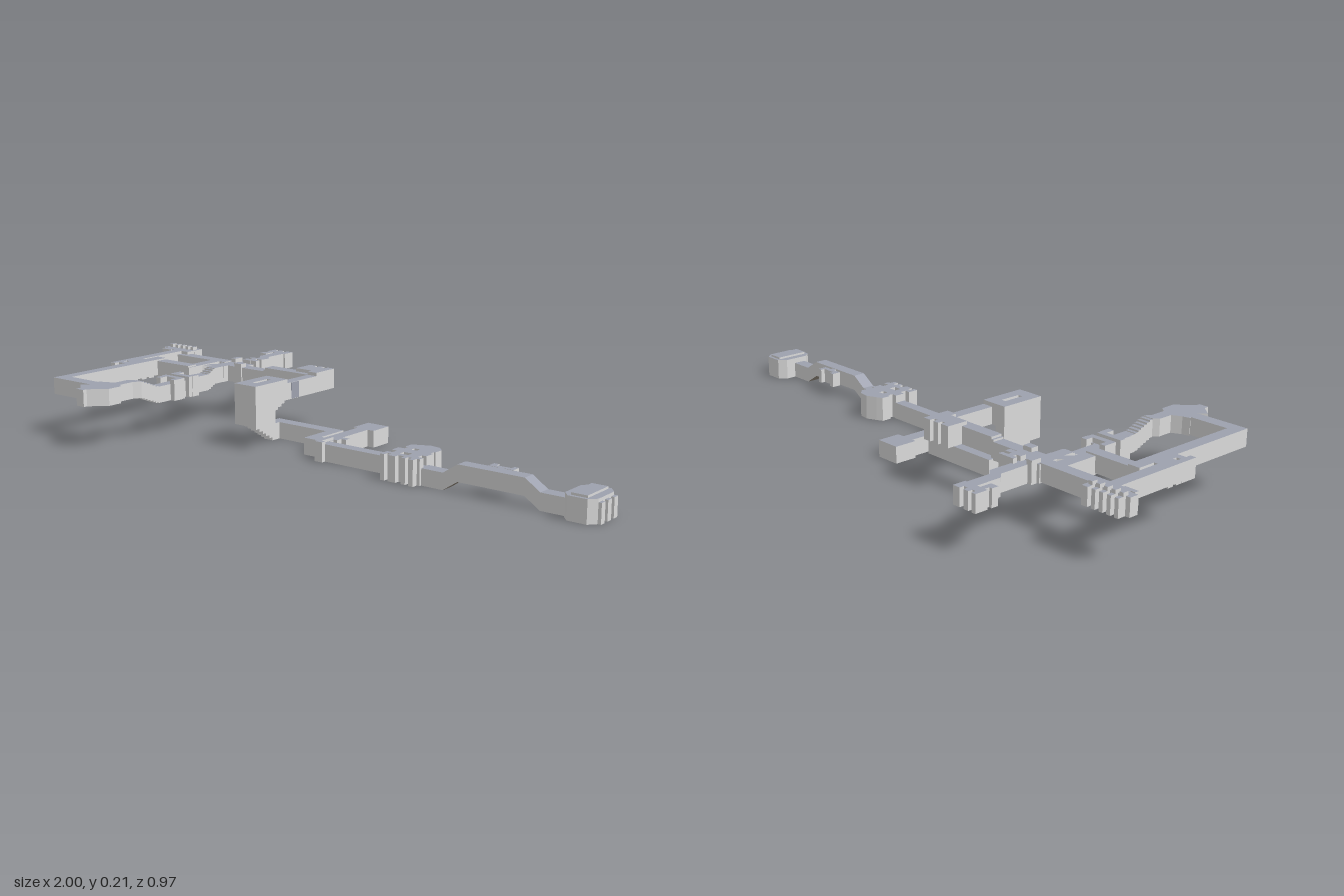
import * as THREE from 'three';

const mat = (name, color) => {
  const m = new THREE.MeshStandardMaterial({ color });
  m.name = name;
  return m;
};

export function createModel() {
  const root = new THREE.Group();
  root.name = 'corridorMap';
  const roofGrey = mat('roofGrey', 0x9da1ae);
  const surfaces = [roofGrey, mat('floorBrownGrey', 0x968d80), mat('wallGrey', 0xdadada)];
  const green = mat('markerGreen', 0x38b065);

  // Sort triangles into roof, floor and wall groups by their facing; open leaves out the floor
  function add(parent, name, geometry, open = false) {
    const src = (geometry.index ? geometry.toNonIndexed() : geometry).attributes.position;
    const sets = [[], [], []];
    const t = new THREE.Triangle(), n = new THREE.Vector3();
    for (let i = 0; i < src.count; i += 3) {
      t.setFromAttributeAndIndices(src, i, i + 1, i + 2).getNormal(n);
      sets[n.y > 0.5 ? 0 : n.y < -0.5 ? 1 : 2].push(...t.a, ...t.b, ...t.c);
    }
    if (open) sets[1] = [];
    const g = new THREE.BufferGeometry();
    g.setAttribute('position', new THREE.Float32BufferAttribute(sets.flat(), 3));
    let start = 0;
    sets.forEach((s, i) => { g.addGroup(start, s.length / 3, i); start += s.length / 3; });
    g.computeVertexNormals();
    const mesh = new THREE.Mesh(g, surfaces);
    mesh.name = name;
    parent.add(mesh);
  }

  // Box from plan limits; riseX shears it into a ramp
  function hall(parent, name, x0, x1, z0, z1, y0, y1, riseX = 0) {
    const g = new THREE.BoxGeometry(x1 - x0, y1 - y0, z1 - z0);
    g.translate((x0 + x1) / 2, (y0 + y1) / 2, (z0 + z1) / 2);
    const p = g.attributes.position;
    for (let i = 0; i < p.count; i++) p.setY(i, p.getY(i) + riseX * (p.getX(i) - x0) / (x1 - x0));
    add(parent, name, g);
  }

  // Stepped passage along z
  function stairs(parent, name, x0, x1, z0, z1, y0, y1, rise, count) {
    for (let i = 0; i < count; i++) {
      const d = (z1 - z0) / count, up = rise * (i + 0.5) / count;
      hall(parent, name, x0, x1, z0 + i * d, z0 + (i + 1) * d, y0 + up, y1 + up);
    }
  }

  // Upright prism from a plan outline of [x, z] points
  function room(parent, name, outline, y0, y1, open) {
    const s = new THREE.Shape(outline.map(([x, z]) => new THREE.Vector2(x, -z)));
    const g = new THREE.ExtrudeGeometry(s, { depth: y1 - y0, bevelEnabled: false });
    g.rotateX(-Math.PI / 2).translate(0, y0, 0);
    add(parent, name, g, open);
  }

  const section = name => {
    const g = new THREE.Group();
    g.name = name;
    root.add(g);
    return g;
  };
  // Several boxes sharing one height
  const halls = (parent, name, y0, y1, list) => list.forEach(r => hall(parent, name, ...r, y0, y1));

  // East end room, open underneath, with a green marker inside
  const east = section('eastWing');
  room(east, 'endRoom', [[0.91, 0.045], [0.97, 0.045], [0.99, 0.07], [0.99, 0.155], [0.97, 0.178],
    [0.91, 0.178], [0.89, 0.155], [0.89, 0.07]], 0, 0.07, true);
  room(east, 'endRoomCap', [[0.915, 0.055], [0.965, 0.055], [0.965, 0.168], [0.915, 0.168]], 0.065, 0.077, true);
  halls(east, 'endAlcove', 0, 0.06, [[0.988, 1, 0.065, 0.085], [0.988, 1, 0.1, 0.12], [0.988, 1, 0.135, 0.155]]);
  const marker = new THREE.Mesh(new THREE.SphereGeometry(0.021, 12, 8), green);
  marker.name = 'greenMarker';
  marker.position.set(0.945, 0.022, 0.112);
  east.add(marker);

  // Raised east corridor with ramps at both ends
  hall(east, 'corridor', 0.40, 0.49, 0.105, 0.147, 0, 0.052);
  hall(east, 'ramp', 0.49, 0.54, 0.105, 0.147, 0, 0.052, 0.033);
  hall(east, 'bridge', 0.54, 0.76, 0.105, 0.147, 0.033, 0.085);
  hall(east, 'ramp', 0.76, 0.81, 0.105, 0.147, 0.033, 0.085, -0.033);
  hall(east, 'corridor', 0.81, 0.89, 0.105, 0.147, 0, 0.052);
  halls(east, 'sideComb', 0.035, 0.083, [[0.61, 0.692, 0.08, 0.096],
    [0.61, 0.628, 0.065, 0.096], [0.645, 0.662, 0.08, 0.105], [0.677, 0.692, 0.065, 0.096]]);

  // Middle hall with small open wells
  room(east, 'hallHead', [[0.315, 0.02], [0.35, 0.005], [0.385, 0.01], [0.405, 0.03], [0.405, 0.062], [0.295, 0.062],
    [0.295, 0.03]], 0, 0.08);
  halls(east, 'middleHall', 0, 0.08, [[0.305, 0.33, 0.06, 0.15], [0.35, 0.40, 0.06, 0.11], [0.36, 0.395, 0.1, 0.15],
    [0.285, 0.41, 0.08, 0.115], [0.285, 0.415, 0.137, 0.155], [0.285, 0.30, 0.15, 0.172],
    [0.312, 0.34, 0.15, 0.172], [0.36, 0.375, 0.15, 0.172], [0.388, 0.405, 0.15, 0.175]]);
  hall(east, 'corridor', 0.0, 0.29, 0.078, 0.115, 0, 0.055);

  // Ground-level winding passage
  const mid = section('groundPassage');
  halls(mid, 'passage', 0, 0.055, [[-0.04, 0.042, -0.193, -0.115], [-0.025, 0.018, -0.12, 0.09],
    [-0.075, 0.018, 0.05, 0.09], [-0.075, -0.038, -0.06, 0.09], [-0.31, -0.04, -0.06, -0.018]]);
  halls(mid, 'alcove', 0, 0.064, [[0.0, 0.015, 0.055, 0.13], [0.015, 0.03, 0.113, 0.13],
    [0.035, 0.05, 0.04, 0.08], [0.05, 0.068, 0.04, 0.06]]);

  // Stair tower: two legs round an open well, joined by a landing
  const tower = section('stairTower');
  const steps = 7;
  for (let i = 0; i < steps; i++) {
    const a = i * 0.11 / steps, b = (i + 1) * 0.11 / steps;
    hall(tower, 'lowerStair', -0.31, -0.273, a, b, i * 0.01, 0.208);
    hall(tower, 'upperStair', -0.257, -0.22, a, b, 0.14 - i * 0.008, 0.208);
  }
  hall(tower, 'landing', -0.31, -0.22, 0.11, 0.153, 0.075, 0.208);
  hall(tower, 'stairHead', -0.31, -0.22, 0, 0.04, 0.14, 0.208);
  hall(tower, 'stairFoot', -0.31, -0.273, -0.02, 0.01, 0, 0.055);
  hall(tower, 'upperCorridor', -0.257, -0.22, -0.15, 0, 0.14, 0.195);
  const panel = new THREE.Mesh(new THREE.BoxGeometry(0.003, 0.053, 0.037), roofGrey);
  panel.name = 'wallPanel';
  panel.position.set(-0.22, 0.1675, -0.0365);
  tower.add(panel);

  // Upper corner room and corridor leading west
  halls(tower, 'cornerRoom', 0.14, 0.206, [[-0.325, -0.22, -0.222, -0.165], [-0.257, -0.22, -0.17, -0.145],
    [-0.325, -0.295, -0.238, -0.215], [-0.282, -0.262, -0.238, -0.215], [-0.248, -0.22, -0.238, -0.215]]);
  hall(tower, 'corridor', -0.447, -0.22, -0.185, -0.145, 0.14, 0.195);
  hall(tower, 'corridorStep', -0.455, -0.447, -0.185, -0.145, 0.133, 0.188);
  hall(tower, 'corridor', -0.57, -0.455, -0.185, -0.145, 0.127, 0.182);

  // North-west junction with short side bays
  const north = section('northWing');
  halls(north, 'junction', 0.127, 0.182, [[-0.665, -0.56, -0.215, -0.145], [-0.68, -0.55, -0.185, -0.165]]);
  halls(north, 'junctionBay', 0.125, 0.195, [[-0.61, -0.553, -0.26, -0.245], [-0.595, -0.575, -0.25, -0.21],
    [-0.61, -0.55, -0.232, -0.212], [-0.585, -0.553, -0.165, -0.14], [-0.655, -0.635, -0.235, -0.2]]);
  // North corridor and its comb-shaped end
  room(north, 'northCorridor', [[-0.66, -0.44], [-0.622, -0.44], [-0.622, -0.36], [-0.602, -0.34], [-0.602, -0.2],
    [-0.64, -0.2], [-0.64, -0.335], [-0.66, -0.355]], 0.125, 0.18);
  halls(north, 'northRoom', 0.125, 0.18, [[-0.70, -0.615, -0.468, -0.44], [-0.70, -0.685, -0.483, -0.46],
    [-0.673, -0.655, -0.483, -0.46], [-0.64, -0.615, -0.483, -0.46], [-0.70, -0.672, -0.425, -0.402],
    [-0.69, -0.672, -0.45, -0.41]]);

  // Loop of corridors on the west side
  const loop = section('westLoop');
  halls(loop, 'northPassage', 0.13, 0.185, [[-0.9, -0.66, -0.21, -0.17], [-0.725, -0.685, -0.18, -0.02]]);
  room(loop, 'diagonalPassage', [[-0.69, -0.12], [-0.655, -0.16], [-0.62, -0.16], [-0.62, -0.125],
    [-0.65, -0.125], [-0.69, -0.08]], 0.127, 0.182);
  hall(loop, 'crossPassage', -0.88, -0.69, -0.06, -0.02, 0.135, 0.19);
  halls(loop, 'westPassage', 0.14, 0.195, [[-0.93, -0.892, -0.21, 0.06], [-0.88, -0.84, -0.06, 0.41],
    [-0.88, -0.69, 0.368, 0.41]]);

  // North-west comb room
  hall(loop, 'combRoom', -0.97, -0.862, -0.235, -0.19, 0.14, 0.195);
  for (let i = 0; i < 5; i++) {
    const x = -0.985 + i * 0.026;
    hall(loop, 'combBay', x, x + 0.013, -0.262, -0.235, 0.14, 0.195);
    hall(loop, 'combRib', x, x + 0.013, -0.245, -0.225, 0.145, 0.206);
  }
  halls(loop, 'combBay', 0.14, 0.195, [[-1, -0.96, -0.235, -0.205], [-0.985, -0.94, -0.2, -0.185],
    [-0.875, -0.86, -0.262, -0.225]]);

  // Ladder-like bays along a passage
  function bays(name, x0, x1, zs, depth, y0, y1) {
    zs.forEach(z => hall(loop, name, x0, x1, z, z + depth, y0, y1));
  }
  bays('westBay', -0.93, -0.84, [0.0, 0.035, 0.075], 0.022, 0.135, 0.195);
  halls(loop, 'westBay', 0.135, 0.195, [[-0.93, -0.91, 0.06, 0.115], [-0.895, -0.88, 0.02, 0.08]]);

  // East side of the loop, stepping down in the middle
  hall(loop, 'eastPassage', -0.66, -0.622, -0.17, -0.08, 0.127, 0.182);
  stairs(loop, 'eastSteps', -0.66, -0.622, -0.08, -0.05, 0.127, 0.182, -0.017, 3);
  hall(loop, 'eastPassage', -0.66, -0.622, -0.05, 0.06, 0.11, 0.165);
  hall(loop, 'eastPassage', -0.645, -0.608, 0.05, 0.2, 0.11, 0.165);
  stairs(loop, 'eastSteps', -0.645, -0.608, 0.2, 0.275, 0.11, 0.165, 0.03, 6);
  room(loop, 'eastPassage', [[-0.645, 0.275], [-0.608, 0.275], [-0.622, 0.3], [-0.622, 0.37], [-0.66, 0.37],
    [-0.66, 0.29]], 0.14, 0.195);
  bays('eastBay', -0.68, -0.592, [0.055, 0.095], 0.02, 0.11, 0.18);
  halls(loop, 'eastBay', 0.11, 0.18, [[-0.68, -0.66, 0.03, 0.06], [-0.61, -0.59, 0.03, 0.06],
    [-0.675, -0.655, 0.095, 0.145], [-0.61, -0.59, 0.11, 0.145]]);

  // South faceted room
  room(loop, 'southRoom', [[-0.69, 0.355], [-0.66, 0.34], [-0.63, 0.345], [-0.602, 0.37], [-0.602, 0.42],
    [-0.652, 0.468], [-0.652, 0.482], [-0.685, 0.482], [-0.685, 0.465], [-0.725, 0.43], [-0.7, 0.41],
    [-0.7, 0.385], [-0.715, 0.36]], 0.14, 0.195);

  return root;
}
